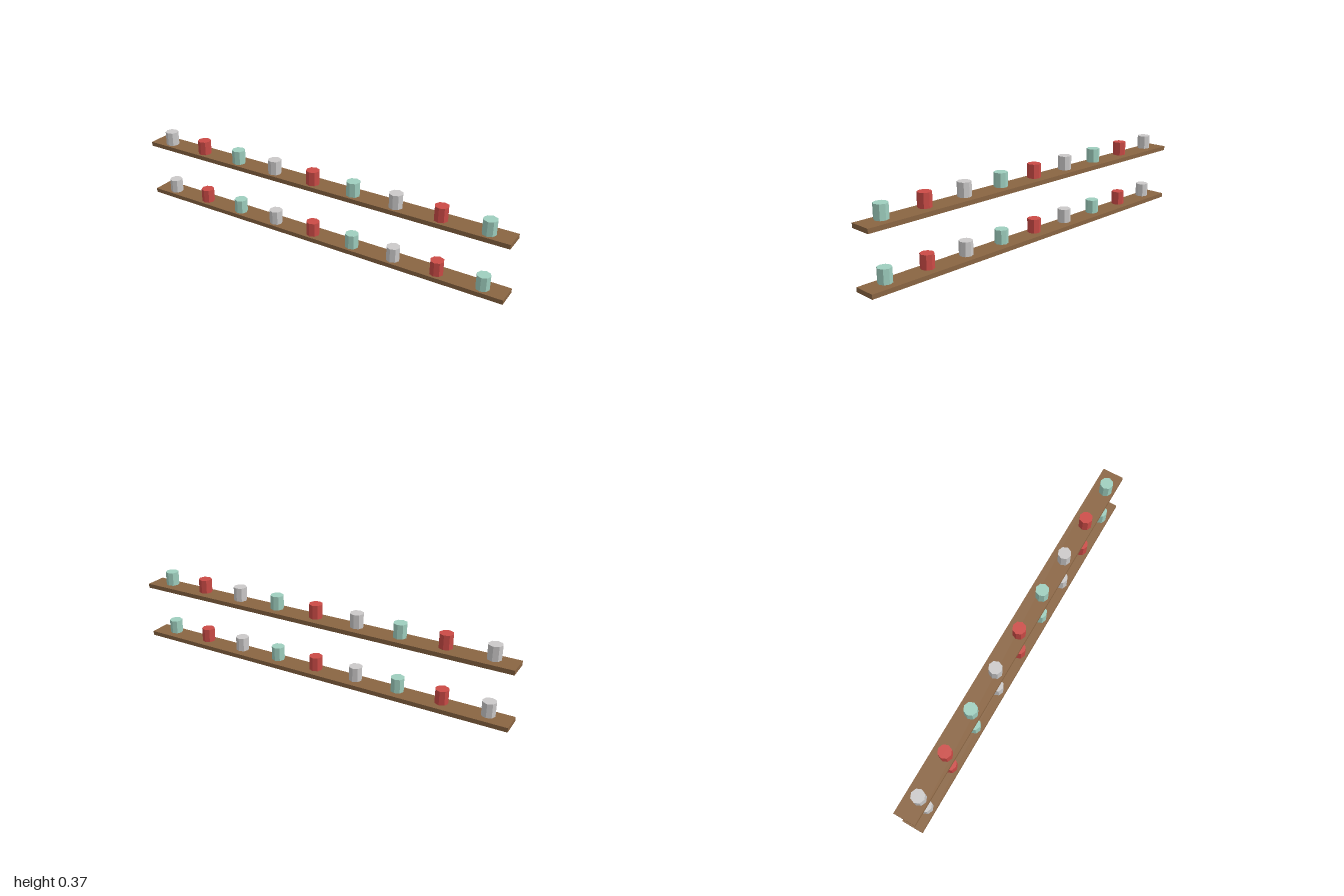
import * as THREE from 'three';

const material = (name, color) => {
  const m = new THREE.MeshStandardMaterial({ color, flatShading: true });
  m.name = name;
  return m;
};

export function createModel() {
  const model = new THREE.Group();
  model.name = 'shelves';

  const wood = material('brown wood', 0x8a6542);
  const jarColours = [
    material('light grey', 0xcccaca),
    material('red', 0xcc4b46),
    material('pale green', 0x9fcfbf),
  ];

  const thickness = 0.022, jarHeight = 0.07, jarCount = 9;
  const boardGeometry = new THREE.BoxGeometry(2, thickness, 0.11);
  const jarGeometry = new THREE.CylinderGeometry(0.0333, 0.0333, jarHeight, 8);

  // Two identical shelves, each a board with a row of jars
  [['lowerShelf', 0], ['upperShelf', 0.278]].forEach(([name, y]) => {
    const shelf = new THREE.Group();
    shelf.name = name;
    shelf.position.y = y;

    const board = new THREE.Mesh(boardGeometry, wood);
    board.name = 'board';
    board.position.y = thickness / 2;
    shelf.add(board);

    // Jars repeat grey, red, green and sit a little forward of centre
    for (let i = 0; i < jarCount; i++) {
      const jar = new THREE.Mesh(jarGeometry, jarColours[i % 3]);
      jar.name = `jar${i + 1}`;
      jar.position.set((i - 4) * 2 / jarCount, thickness + jarHeight / 2, 0.0115);
      shelf.add(jar);
    }
    model.add(shelf);
  });

  return model;
}
